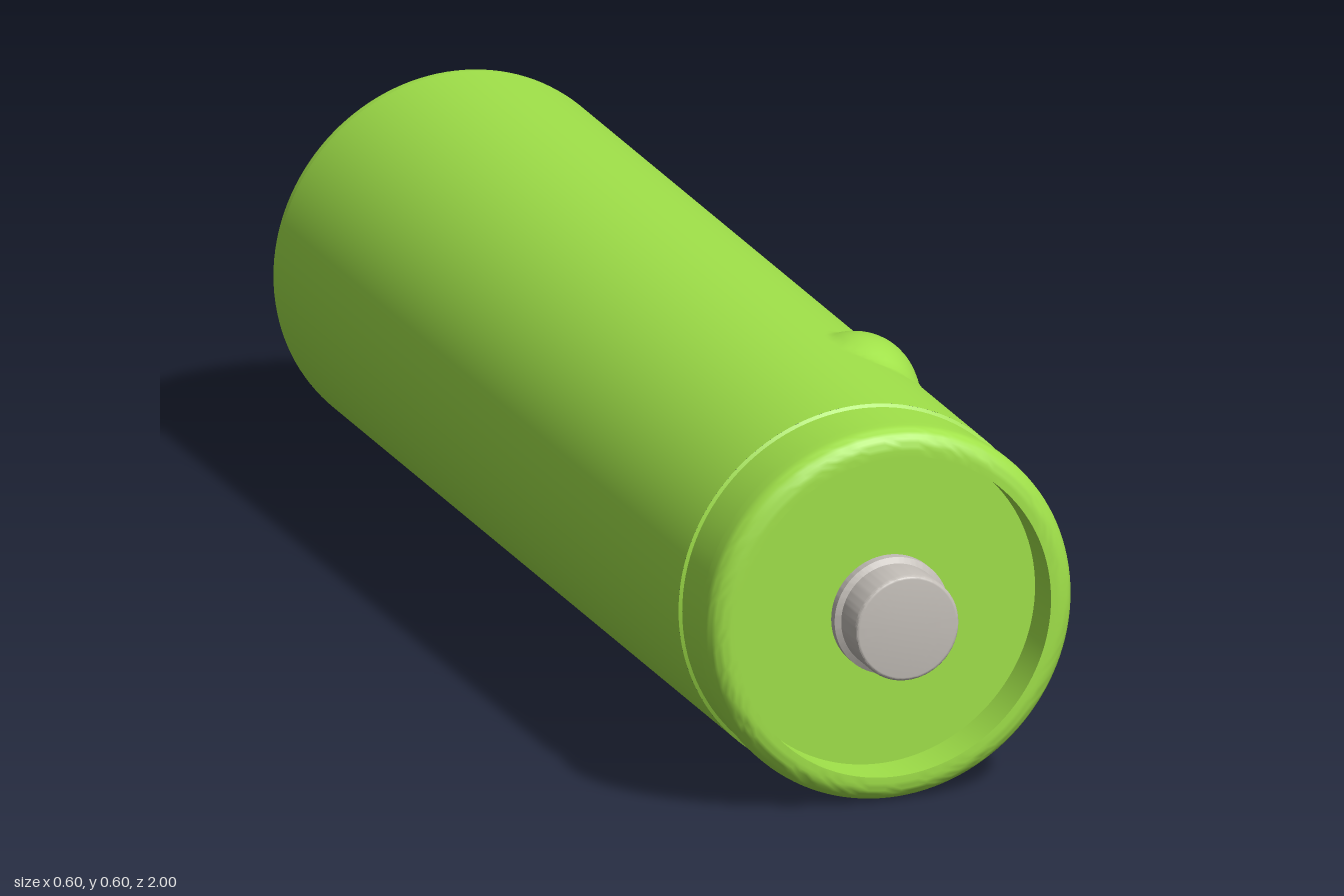
import * as THREE from 'three';
import { toCreasedNormals } from 'three/addons/utils/BufferGeometryUtils.js';

const green = new THREE.MeshStandardMaterial({ color: 0xa0e149 });
green.name = 'casing green';
const nickel = new THREE.MeshStandardMaterial({ color: 0xc2bdb7 });
nickel.name = 'terminal grey';
const steel = new THREE.MeshStandardMaterial({ color: 0xdedede });
steel.name = 'base grey';

const SEGMENTS = 128;
const RADIUS = 0.3;

// Revolve [radius, z] pairs, listed so the outer wall runs towards +z, around the z axis
function revolve(name, profile, material) {
  const points = profile.map(([r, z]) => new THREE.Vector2(r, z));
  const geometry = new THREE.LatheGeometry(points, SEGMENTS).rotateX(Math.PI / 2);
  const mesh = new THREE.Mesh(toCreasedNormals(geometry, 0.65), material);
  mesh.name = name;
  return mesh;
}

// Points on an arc in the profile plane
function arc(cr, cz, radius, from, to, steps = 8) {
  return Array.from({ length: steps + 1 }, (_, i) => {
    const a = from + ((to - from) * i) / steps;
    return [cr + radius * Math.cos(a), cz + radius * Math.sin(a)];
  });
}

// Round swelling and hollow in the wall: angle around the axis, position, half sizes, height
const DEFORMATIONS = [
  { angle: 1.02, z: 0.45, halfArc: 0.078, halfLength: 0.083, height: 0.029 },
  { angle: -0.98, z: -0.2, halfArc: 0.092, halfLength: 0.11, height: -0.045 },
];

// Main tube with the wall pushed out and in
function buildBody() {
  const back = -0.97, front = 0.795;
  const geometry = new THREE.CylinderGeometry(RADIUS, RADIUS, front - back, 192, 160, true);
  geometry.rotateX(Math.PI / 2).translate(0, 0, (front + back) / 2);
  const p = geometry.attributes.position;
  for (let i = 0; i < p.count; i++) {
    const angle = Math.atan2(p.getY(i), p.getX(i));
    let r = RADIUS;
    for (const d of DEFORMATIONS) {
      const u = ((angle - d.angle) * RADIUS) / d.halfArc;
      const v = (p.getZ(i) - d.z) / d.halfLength;
      r += d.height * Math.max(0, 1 - u * u - v * v);
    }
    p.setXY(i, r * Math.cos(angle), r * Math.sin(angle));
  }
  geometry.computeVertexNormals();
  const mesh = new THREE.Mesh(geometry, green);
  mesh.name = 'body';
  return mesh;
}

export function createModel() {
  const cell = new THREE.Group();
  cell.name = 'battery';
  cell.add(buildBody());

  // Front collar: shallow groove, rounded lip and recessed floor
  cell.add(revolve('frontCollar', [
    [RADIUS, 0.795], [0.295, 0.798], [0.295, 0.884], [RADIUS, 0.889],
    ...arc(0.268, 0.908, 0.032, 0, Math.PI / 2),
    [0.258, 0.94], [0.258, 0.87], [0, 0.87],
  ], green));

  // Rounded lip around the base
  cell.add(revolve('backLip', [
    [0.257, -0.98], [0.257, -1],
    ...arc(0.275, -0.975, 0.025, -Math.PI / 2, 0),
    [RADIUS, -0.97],
  ], green));

  // Flat base contact
  const base = new THREE.Mesh(new THREE.CircleGeometry(0.258, SEGMENTS), steel);
  base.name = 'baseContact';
  base.rotation.y = Math.PI;
  base.position.z = -0.99;
  cell.add(base);

  // Positive terminal on a narrow neck, with a small flange
  cell.add(revolve('terminal', [
    [0.05, 0.87], [0.05, 0.915], [0.094, 0.915], [0.094, 0.93], [0.085, 0.935], [0.085, 0.994],
    ...arc(0.079, 0.994, 0.006, 0.2, Math.PI / 2, 4), [0, 1],
  ], nickel));

  cell.position.y = RADIUS;
  const model = new THREE.Group();
  model.name = 'batteryModel';
  model.add(cell);
  return model;
}
